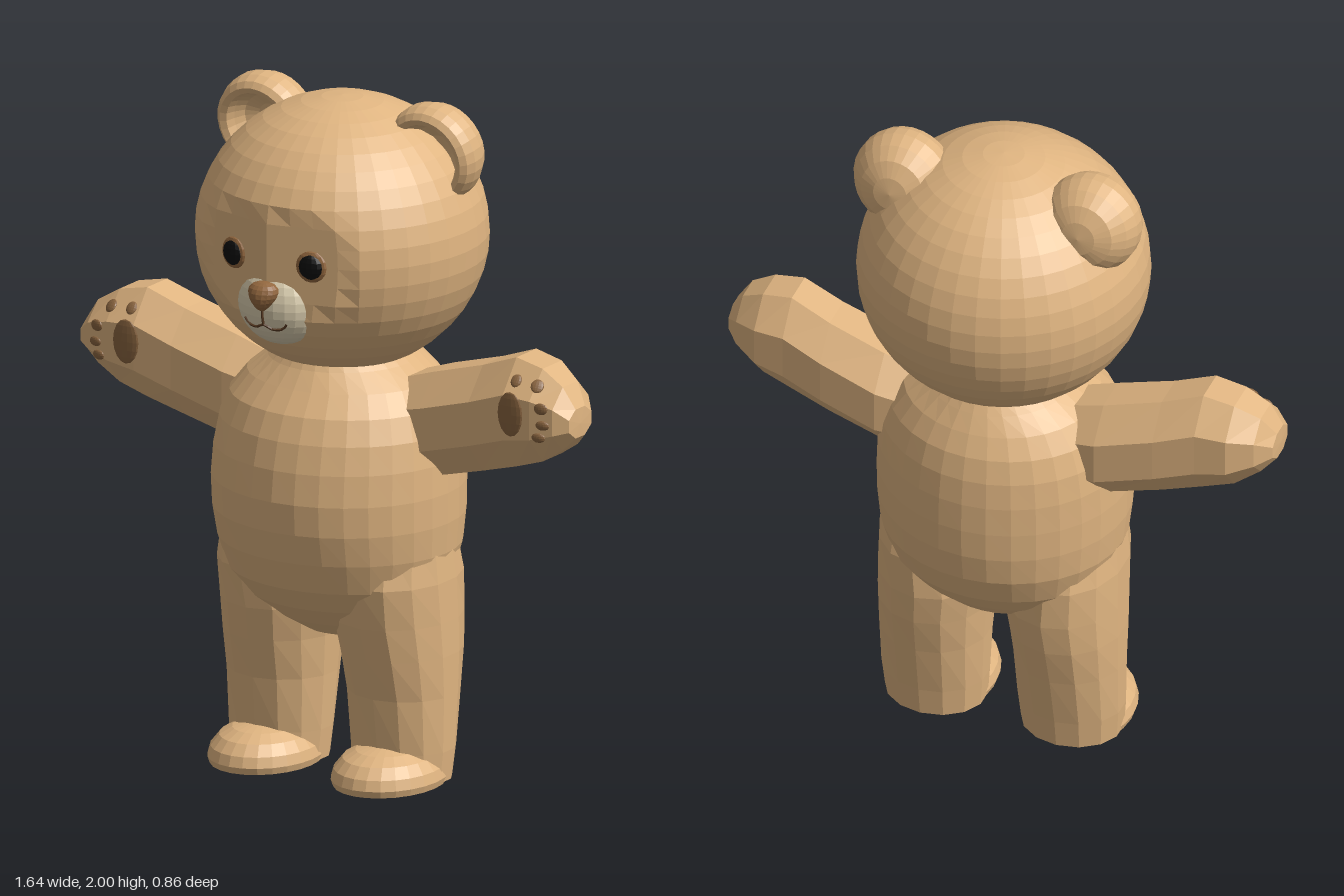
import * as THREE from 'three';

const mat = (name, color) => {
  const m = new THREE.MeshStandardMaterial({ color });
  m.name = name;
  return m;
};

// Faceted normals baked into the geometry
function facet(geo) {
  const g = geo.index ? geo.toNonIndexed() : geo;
  g.computeVertexNormals();
  return g;
}

// Skin of elliptical rings along y; each row is [y, centreX, radiusX, centreZ, radiusZ]
function loft(rows, sides, turn = 0) {
  const pos = [], idx = [];
  rows.forEach(([y, cx, rx, cz, rz], r) => {
    for (let i = 0; i < sides; i++) {
      const a = ((i + turn) / sides) * Math.PI * 2;
      pos.push(cx + rx * Math.sin(a), y, cz + rz * Math.cos(a));
      if (r === rows.length - 1) continue;
      const p = r * sides + i, q = r * sides + (i + 1) % sides;
      idx.push(p, q, p + sides, q, q + sides, p + sides);
    }
  });
  const g = new THREE.BufferGeometry();
  g.setAttribute('position', new THREE.Float32BufferAttribute(pos, 3));
  g.setIndex(idx);
  return g;
}

function ellipsoid(rx, ry, rz, w = 16, h = 10) {
  return new THREE.SphereGeometry(1, w, h).scale(rx, ry, rz);
}

export function createModel() {
  const bear = new THREE.Group();
  bear.name = 'teddyBear';
  const fur = mat('fur', 0xe0b581);
  const cream = mat('muzzleCream', 0xdccfb0);
  const noseBrown = mat('noseBrown', 0x94683f);
  const padBrown = mat('padBrown', 0x8a6540);
  const black = mat('eyeBlack', 0x0c0c0c);
  const dark = mat('mouthBrown', 0x5a3c24);

  const add = (name, geo, material) => {
    const m = new THREE.Mesh(facet(geo), material);
    m.name = name;
    bear.add(m);
    return m;
  };

  // Lays a flattened button on the surface of another part
  const ray = new THREE.Raycaster();
  const stick = (name, target, from, dir, rx, ry, depth, material) => {
    ray.set(new THREE.Vector3(...from), new THREE.Vector3(...dir));
    const hit = ray.intersectObject(target)[0];
    if (!hit) return;
    const m = add(name, ellipsoid(rx, ry, depth, 14, 8), material);
    m.position.copy(hit.point);
    m.quaternion.setFromUnitVectors(new THREE.Vector3(0, 0, 1), hit.face.normal);
  };

  // Torso
  add('torso', loft([
    [0.40, 0, 0, -0.01, 0], [0.43, 0, 0.1, -0.01, 0.09], [0.48, 0, 0.2, -0.01, 0.17],
    [0.54, 0, 0.28, -0.005, 0.235], [0.61, 0, 0.33, -0.005, 0.29], [0.7, 0, 0.355, -0.005, 0.325],
    [0.79, 0, 0.364, 0, 0.343], [0.88, 0, 0.366, 0.002, 0.347], [0.97, 0, 0.362, -0.002, 0.34],
    [1.05, 0, 0.35, -0.008, 0.325], [1.12, 0, 0.325, -0.015, 0.3], [1.18, 0, 0.28, -0.025, 0.26],
    [1.23, 0, 0.215, -0.03, 0.225], [1.27, 0, 0.17, -0.03, 0.2], [1.28, 0, 0, -0.03, 0],
  ], 32), fur);

  // Head, with a shallow flattened face
  const headGeo = ellipsoid(0.415, 0.395, 0.415, 36, 22).translate(0, 1.59, -0.015);
  const p = headGeo.attributes.position;
  for (let i = 0; i < p.count; i++) {
    const x = Math.abs(p.getX(i)), y = p.getY(i);
    if (x < 0.27 && y < 1.75 && y > 1.36) p.setZ(i, Math.min(p.getZ(i), 0.372 - 0.23 * x));
  }
  const head = add('head', headGeo, fur);

  // Muzzle, nose and mouth
  add('muzzle', ellipsoid(0.132, 0.12, 0.1, 24, 16).translate(0, 1.455, 0.295), cream);
  const noseGeo = ellipsoid(1, 1, 1, 16, 10);
  const np = noseGeo.attributes.position;
  for (let i = 0; i < np.count; i++) np.setX(i, np.getX(i) * (0.72 + 0.35 * np.getY(i)));
  add('nose', noseGeo.scale(0.058, 0.043, 0.042).translate(0, 1.495, 0.388), noseBrown);
  const muzzlePoint = (x, y) => new THREE.Vector3(x, y,
    0.295 + 0.1 * Math.sqrt(1 - (x / 0.132) ** 2 - ((y - 1.455) / 0.12) ** 2));
  const line = (name, pts) => add(name, new THREE.TubeGeometry(
    new THREE.CatmullRomCurve3(pts.map(([x, y]) => muzzlePoint(x, y))), 12, 0.004, 5), dark);
  line('mouthCleft', [[0, 1.46], [0, 1.44], [0, 1.41]]);
  line('mouth', [[-0.07, 1.42], [-0.055, 1.403], [-0.025, 1.4], [0, 1.412],
    [0.025, 1.4], [0.055, 1.403], [0.07, 1.42]]);

  // Cupped ear: back dome, rounded rim and inner hollow
  const earProfile = [[0, -0.1], [0.05, -0.094], [0.095, -0.075], [0.127, -0.04], [0.145, 0.0],
    [0.145, 0.035], [0.136, 0.064], [0.12, 0.078], [0.102, 0.07], [0.092, 0.045],
    [0.075, 0.015], [0.04, -0.005], [0, -0.01]].map(([r, z]) => new THREE.Vector2(r, z));

  for (const s of [1, -1]) {
    const side = s > 0 ? 'left' : 'right';

    const ear = new THREE.LatheGeometry(earProfile, 28).rotateX(Math.PI / 2)
      .rotateX(0.15).translate(s * 0.283, 1.855, -0.078);
    add(side + 'Ear', ear, fur);

    // Eye
    stick(side + 'EyeRim', head, [s * 0.13, 1.59, 2], [0, 0, -1], 0.046, 0.046, 0.012, noseBrown);
    stick(side + 'Eye', head, [s * 0.13, 1.59, 2], [0, 0, -1], 0.038, 0.038, 0.021, black);

    // Arm; rows are [x, bottom, top, back, front]
    const k = 1 / Math.cos(Math.PI / 8);
    const arm = [
      [0.12, 1.07, 1.07, -0.03, -0.03], [0.13, 0.93, 1.17, -0.14, 0.08],
      [0.33, 0.93, 1.235, -0.17, 0.1], [0.5, 0.975, 1.285, -0.153, 0.103],
      [0.62, 1.01, 1.33, -0.135, 0.11], [0.71, 1.04, 1.312, -0.125, 0.112],
      [0.78, 1.085, 1.27, -0.085, 0.1], [0.82, 1.125, 1.21, -0.04, 0.075],
      [0.822, 1.165, 1.165, 0.02, 0.02],
    ].map(([x, b, t, back, front]) =>
      [s * x, (back + front) / 2, k * (front - back) / 2, (b + t) / 2, k * (t - b) / 2]);
    if (s < 0) arm.reverse();
    const armGeo = loft(arm, 8, 0.5);
    // Turn the loft axis from y to x
    armGeo.applyMatrix4(new THREE.Matrix4().set(0, 1, 0, 0, 0, 0, 1, 0, 1, 0, 0, 0, 0, 0, 0, 1));
    const armMesh = add(side + 'Arm', armGeo, fur);

    // Palm and finger pads
    for (const [x, y, rx, ry] of [[0.645, 1.185, 0.042, 0.065], [0.645, 1.275, 0.017, 0.02],
      [0.715, 1.27, 0.019, 0.021], [0.745, 1.215, 0.021, 0.017],
      [0.75, 1.167, 0.021, 0.014], [0.738, 1.13, 0.021, 0.014]])
      stick(side + 'PalmPad', armMesh, [s * x, y, 2], [0, 0, -1], rx, ry, 0.007, padBrown);

    // Leg
    add(side + 'Leg', loft([
      [0.03, 0.205, 0, -0.01, 0], [0.03, 0.205, 0.148, -0.01, 0.127], [0.12, 0.205, 0.156, -0.016, 0.134],
      [0.28, 0.202, 0.162, -0.022, 0.158], [0.4, 0.198, 0.168, -0.02, 0.186],
      [0.5, 0.19, 0.175, -0.015, 0.205], [0.62, 0.198, 0.165, -0.005, 0.215],
      [0.75, 0.2, 0.15, 0, 0.18], [0.8, 0.2, 0, 0, 0],
    ].map(([y, cx, ...r]) => [y, s * cx, ...r]), 14), fur);

    // Foot with a flat sole
    const foot = add(side + 'Foot', loft([
      [0.025, 0, 0], [0.025, 0.96, 1], [0.045, 1, 1], [0.075, 0.95, 1], [0.105, 0.8, 1],
      [0.125, 0.58, 1], [0.137, 0.3, 1], [0.14, 0, 1],
    ].map(([y, f]) => [y, s * 0.207, 0.155 * f, 0.057, 0.193 * f]), 24), fur);

    // Sole and toe pads
    for (const [x, z, rx, rz, d] of [[0, 0.035, 0.075, 0.085, 0.025], [-0.09, 0.13, 0.019, 0.024, 0.012],
      [-0.035, 0.175, 0.021, 0.026, 0.012], [0.035, 0.175, 0.021, 0.026, 0.012], [0.09, 0.13, 0.019, 0.024, 0.012]])
      stick(side + 'SolePad', foot, [s * 0.207 + x, -1, z], [0, 1, 0], rx, rz, d, padBrown);
  }
  return bear;
}
